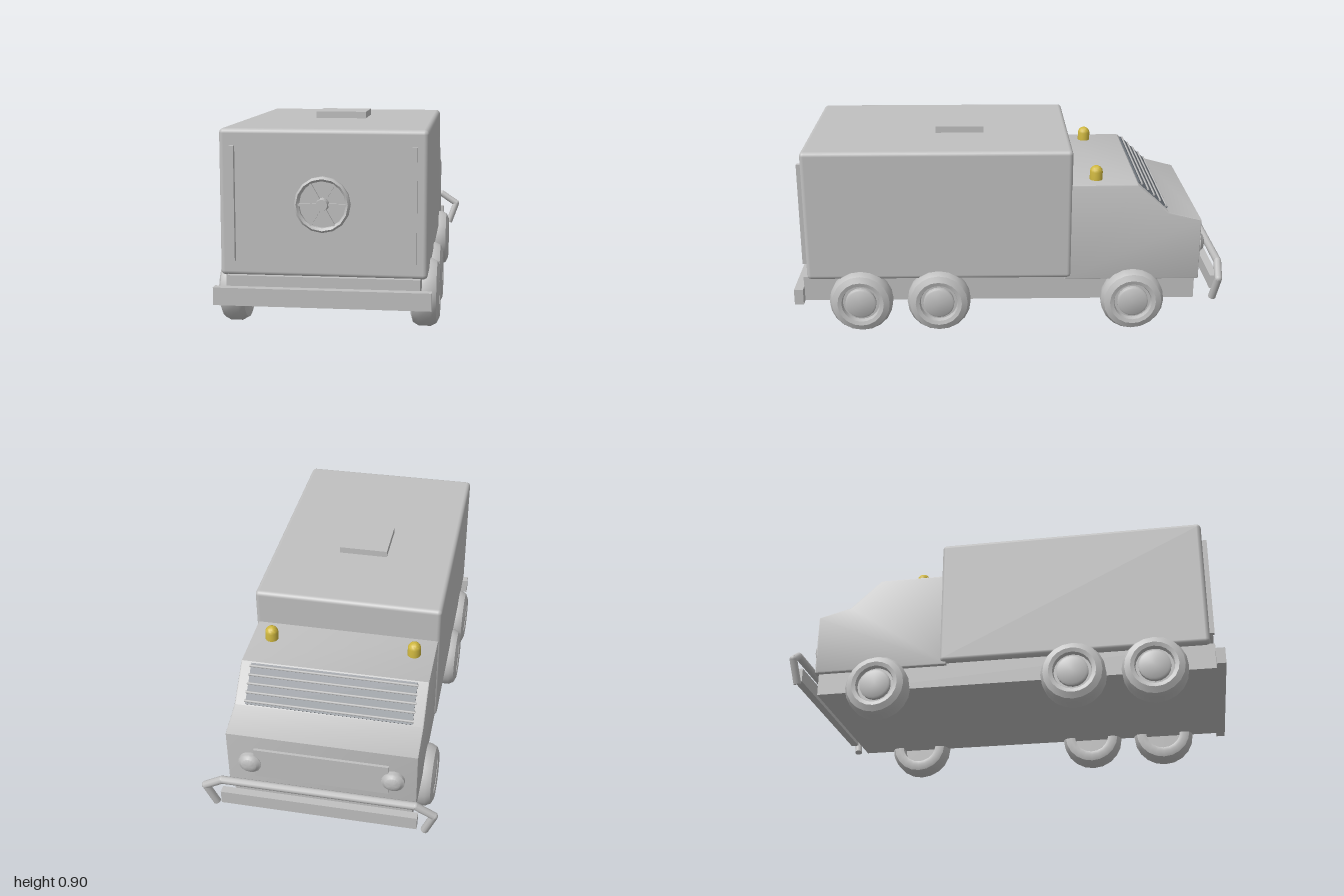
import * as THREE from 'three';
import { RoundedBoxGeometry } from 'three/addons/geometries/RoundedBoxGeometry.js';
import { toCreasedNormals } from 'three/addons/utils/BufferGeometryUtils.js';

const material = (name, color) => {
  const m = new THREE.MeshStandardMaterial({ color });
  m.name = name;
  return m;
};

export function createModel() {
  const grey = material('body grey', 0xc0c0c0);
  const glass = material('dark glass', 0x6b7178);
  const yellow = material('beacon yellow', 0xd0b840);
  const model = new THREE.Group();
  model.name = 'armouredTruck';

  const add = (name, geometry, mat = grey, parent = model) => {
    const mesh = new THREE.Mesh(geometry, mat);
    mesh.name = name;
    parent.add(mesh);
    return mesh;
  };
  // Box given by its limits on each axis
  const box = (name, x0, x1, y0, y1, z0, z1, mat) => {
    const mesh = add(name, new THREE.BoxGeometry(x1 - x0, y1 - y0, z1 - z0), mat);
    mesh.position.set((x0 + x1) / 2, (y0 + y1) / 2, (z0 + z1) / 2);
    return mesh;
  };
  const lathe = (pts, sides) => toCreasedNormals(
    new THREE.LatheGeometry(pts.map(p => new THREE.Vector2(...p)), sides), 0.6);
  // Round bar between two points
  const rod = (name, a, b, r, sides = 8, mat = grey) => {
    const from = new THREE.Vector3(...a), to = new THREE.Vector3(...b);
    const dir = to.clone().sub(from);
    const mesh = add(name, new THREE.CylinderGeometry(r, r, dir.length(), sides), mat);
    mesh.position.copy(from).add(to).multiplyScalar(0.5);
    mesh.quaternion.setFromUnitVectors(new THREE.Vector3(0, 1, 0), dir.normalize());
  };

  // Cargo body, roof hatch, chassis and step bumper
  add('cargoBody', new RoundedBoxGeometry(0.87, 0.62, 1.235, 3, 0.02)).position.set(0, 0.565, 0.3225);
  box('roofHatch', -0.115, 0.115, 0.87, 0.905, 0.11, 0.34);
  box('chassis', -0.406, 0.406, 0.14, 0.26, -0.88, 0.96);
  box('stepBumper', -0.455, 0.455, 0.14, 0.215, 0.958, 1.0);

  // Cab from its side outline, with a small bevel
  const b = 0.006;
  const outline = new THREE.Shape([[0.27, 0.25], [0.889, 0.25], [0.889, 0.531],
    [0.738, 0.57], [0.592, 0.704], [0.27, 0.704]].map(p => new THREE.Vector2(...p)));
  const cab = new THREE.ExtrudeGeometry(outline, {
    depth: 0.85 - 2 * b, bevelEnabled: true, bevelSize: b, bevelThickness: b, bevelSegments: 2 });
  cab.translate(0, 0, -0.425 + b).rotateY(Math.PI / 2);
  add('cab', toCreasedNormals(cab, 0.5));

  // Windscreen on the sloping face, with slats across it
  const top = new THREE.Vector3(0, 0.71, -0.597), bottom = new THREE.Vector3(0, 0.575, -0.742);
  const slope = bottom.clone().sub(top);
  const normal = new THREE.Vector3(0, -slope.z, slope.y).normalize();
  const screen = add('windscreen', new THREE.BoxGeometry(0.75, slope.length() * 0.94, 0.009), glass);
  screen.position.copy(top).addScaledVector(slope, 0.5).addScaledVector(normal, 0.003);
  screen.quaternion.setFromRotationMatrix(new THREE.Matrix4().makeBasis(
    new THREE.Vector3(-1, 0, 0), slope.clone().normalize().negate(), normal));
  for (let i = 0; i < 5; i++) {
    const p = top.clone().addScaledVector(slope, 0.1 + i * 0.2).addScaledVector(normal, 0.008);
    rod('windscreenSlat', [-0.38, p.y, p.z], [0.38, p.y, p.z], 0.006, 6);
  }

  // Grille panel on the nose
  box('grillePanel', -0.3, 0.3, 0.315, 0.47, -0.908, -0.89);

  // Vault door wheel
  const vault = new THREE.Group();
  vault.name = 'vaultWheel';
  vault.position.set(0, 0.565, 0.94);
  model.add(vault);
  const rim = lathe([[0.098, 0], [0.117, 0], [0.117, 0.018], [0.108, 0.028], [0.098, 0.018], [0.098, 0]], 16);
  add('vaultRim', rim.rotateX(Math.PI / 2), grey, vault);
  for (let i = 0; i < 3; i++) {
    const spoke = add('vaultSpoke', new THREE.BoxGeometry(0.206, 0.01, 0.012), grey, vault);
    spoke.position.z = 0.015;
    spoke.rotation.z = i * Math.PI / 3;
  }
  add('vaultHub', new THREE.CylinderGeometry(0.024, 0.028, 0.035, 14).rotateX(Math.PI / 2), grey, vault)
    .position.z = 0.0175;

  // Wheel sections, revolved about the axle
  const tyre = lathe([[0.086, 0.36], [0.105, 0.355], [0.133, 0.364], [0.148, 0.39], [0.148, 0.442],
    [0.135, 0.467], [0.108, 0.479], [0.09, 0.474], [0.086, 0.46], [0.086, 0.36]], 20);
  const hub = lathe([[0, 0.42], [0.087, 0.42], [0.087, 0.45], [0.072, 0.45], [0.072, 0.468],
    [0.064, 0.473], [0, 0.473]], 20);

  for (const s of [-1, 1]) {
    for (const z of [0.69, 0.325, -0.585]) {
      const wheel = new THREE.Group();
      wheel.name = 'wheel';
      wheel.position.set(0, 0.148, z);
      wheel.rotation.z = -s * Math.PI / 2;
      add('tyre', tyre, grey, wheel);
      add('wheelHub', hub, grey, wheel);
      model.add(wheel);
    }
    // Vertical hinge rails beside the vault door
    box('doorRail', s * 0.379 - 0.011, s * 0.379 + 0.011, 0.32, 0.805, 0.93, 0.963);

    // Beacon with domed top
    add('beacon', lathe([[0.03, 0], [0.03, 0.04], [0.028, 0.05], [0.021, 0.06], [0.011, 0.066], [0, 0.068]], 16),
      yellow).position.set(s * 0.33, 0.708, -0.41);

    // Headlight: ring and shallow dome
    const lamp = lathe([[0.052, 0], [0.052, 0.018], [0.043, 0.022], [0.034, 0.033], [0.018, 0.038], [0, 0.04]], 16);
    add('headlight', lamp.rotateX(-Math.PI / 2)).position.set(s * 0.32, 0.39, -0.893);

    // Bent ends of the bull bar
    const bend = [[s * 0.43, 0.336, -0.979], [s * 0.512, 0.282, -0.97], [s * 0.472, 0.172, -0.955]];
    rod('bullBarArm', bend[0], bend[1], 0.018, 10);
    rod('bullBarEnd', bend[1], bend[2], 0.018, 10);
    for (const p of bend.slice(0, 2))
      add('bullBarElbow', new THREE.SphereGeometry(0.018, 10, 8)).position.set(...p);
  }

  // Bull bar cross tube and the bumper beam behind it
  rod('bullBarTube', [-0.43, 0.336, -0.979], [0.43, 0.336, -0.979], 0.018, 10);
  box('bumperBeam', -0.44, 0.44, 0.2, 0.265, -0.985, -0.948);
  return model;
}
